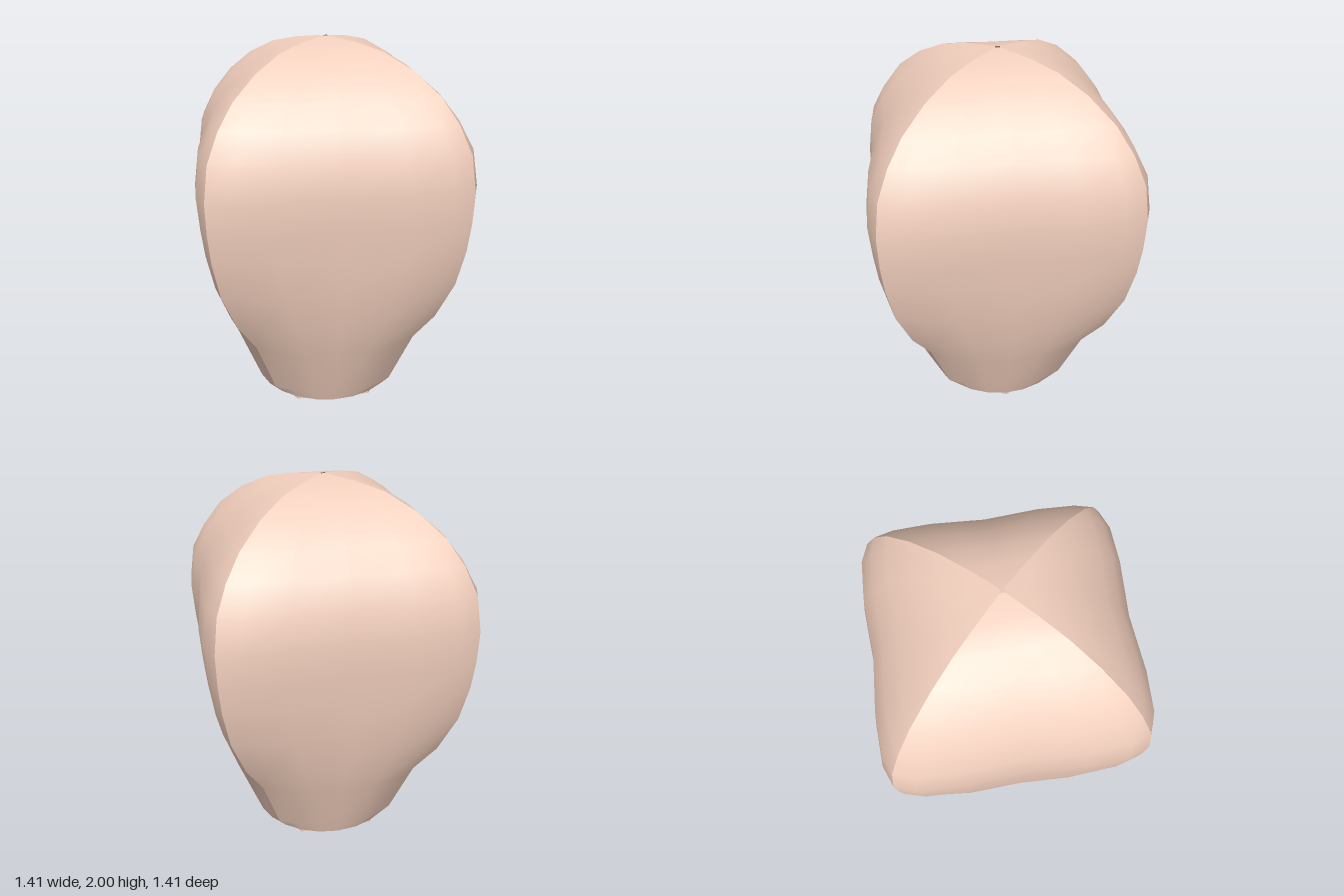
import * as THREE from 'three';

const PAPER = 0xf2cfbd;

// Each row: height, half width at the corner seam, reach of the panel bulge
const ROWS = [
  [0.015, 0.29, 0.41], [0.08, 0.33, 0.434], [0.4, 0.43, 0.55], [0.58, 0.525, 0.602],
  [0.8, 0.6, 0.653], [1.0, 0.635, 0.678], [1.15, 0.648, 0.693], [1.32, 0.652, 0.705],
  [1.5, 0.63, 0.68], [1.64, 0.575, 0.61], [1.76, 0.5, 0.52], [1.87, 0.385, 0.393],
  [1.945, 0.26, 0.265], [1.98, 0.14, 0.142], [2.0, 0.012, 0.0125],
];

// Half a cross-section, from the panel middle to the seam: round mouth and square body
const ROUND_X = [0, 0.37, 0.71, 1], ROUND_Z = [1, 0.966, 0.866];
const SQUARE_X = [0, 0.49, 0.83, 1], SQUARE_Z = [0.97, 1, 0.986];

function panelGeometry() {
  const pos = [], index = [];
  for (const [y, corner, reach] of ROWS) {
    const t = THREE.MathUtils.smoothstep(y, 0, 1.1);
    for (let i = -3; i <= 3; i++) {
      const a = Math.abs(i);
      const x = Math.sign(i) * corner * THREE.MathUtils.lerp(ROUND_X[a], SQUARE_X[a], t);
      const z = a === 3 ? corner : reach * THREE.MathUtils.lerp(ROUND_Z[a], SQUARE_Z[a], t);
      pos.push(x, y, z);
    }
  }
  for (let r = 0; r < ROWS.length - 1; r++) {
    for (let i = 0; i < 6; i++) {
      const a = r * 7 + i, b = a + 7;
      index.push(a, a + 1, b + 1, a, b + 1, b);
    }
  }
  const geo = new THREE.BufferGeometry();
  geo.setAttribute('position', new THREE.Float32BufferAttribute(pos, 3));
  geo.setIndex(index);
  geo.computeVertexNormals();
  return geo;
}

export function createModel() {
  const model = new THREE.Group();
  const paper = new THREE.MeshStandardMaterial({ color: PAPER, side: THREE.DoubleSide });
  const solid = new THREE.MeshStandardMaterial({ color: PAPER, flatShading: true });

  const add = (parent, name, geo, mat) => {
    const mesh = new THREE.Mesh(geo, mat);
    mesh.name = name;
    parent.add(mesh);
    return mesh;
  };

  // Four paper panels meeting at sharp seams
  const shell = new THREE.Group();
  shell.name = 'paperShell';
  model.add(shell);
  const panel = panelGeometry();
  for (let i = 0; i < 4; i++) {
    add(shell, 'paperPanel', panel, paper).rotation.y = i * Math.PI / 2;
  }

  // Hexagonal frame around the mouth
  const frame = new THREE.Group();
  frame.name = 'mouthFrame';
  model.add(frame);
  const side = 0.41, apothem = side * Math.cos(Math.PI / 6);
  const sideBar = new THREE.BoxGeometry(side, 0.015, 0.016);
  sideBar.translate(0, 0.0075, apothem - 0.008);
  for (let i = 0; i < 6; i++) {
    add(frame, 'frameBar', sideBar, solid).rotation.y = i * Math.PI / 3;
  }

  // Two crossing bars that carry the burner
  const crossBar = new THREE.BoxGeometry(2 * apothem - 0.02, 0.012, 0.014);
  for (const s of [-1, 1]) {
    const bar = add(frame, 'crossBar', crossBar, solid);
    bar.position.y = 0.008;
    bar.rotation.y = s * Math.PI / 6;
  }

  // Burner cup with a tapered wick
  const burner = new THREE.Group();
  burner.name = 'burner';
  model.add(burner);
  add(burner, 'burnerCup', new THREE.CylinderGeometry(0.1, 0.1, 0.06, 6), solid).position.y = 0.044;
  add(burner, 'wick', new THREE.CylinderGeometry(0.022, 0.055, 0.13, 6), solid).position.y = 0.138;

  return model;
}
